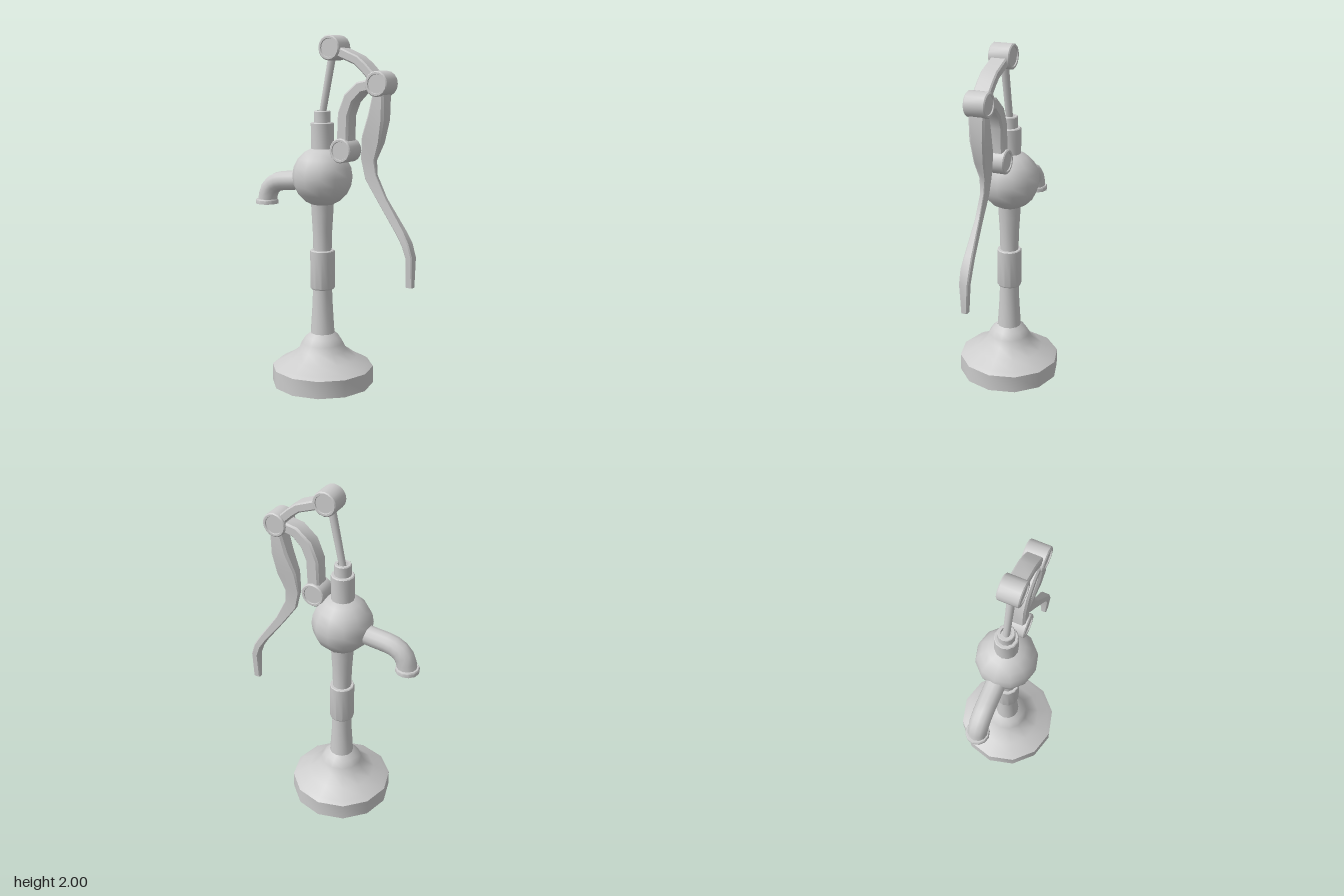
import * as THREE from 'three';
import { toCreasedNormals } from 'three/addons/utils/BufferGeometryUtils.js';

const AXIS = -0.07; // x of the pump column

export function createModel() {
  const group = new THREE.Group();
  const iron = new THREE.MeshStandardMaterial({ color: 0xcccccc, side: THREE.DoubleSide });
  iron.name = 'cast iron grey';

  const add = (name, geometry, x = 0, y = 0, z = 0) => {
    const mesh = new THREE.Mesh(geometry, iron);
    mesh.name = name;
    mesh.position.set(x, y, z);
    group.add(mesh);
    return mesh;
  };

  // Turned part: smooth around, sharp at strong profile corners
  const turned = (profile, sides = 12) => toCreasedNormals(
    new THREE.LatheGeometry(profile.map(([r, y]) => new THREE.Vector2(r, y)), sides), 0.65);

  // Chamfered bar along stations [x, y, half thickness, half depth in z]
  const bar = (stations) => {
    const rings = stations.map(([x, y, t, w], i) => {
      const a = stations[Math.max(i - 1, 0)];
      const b = stations[Math.min(i + 1, stations.length - 1)];
      const len = Math.hypot(b[0] - a[0], b[1] - a[1]);
      const nx = -(b[1] - a[1]) / len, ny = (b[0] - a[0]) / len;
      const c = Math.min(t, w) * 0.3;
      return [[t, -w + c], [t, w - c], [t - c, w], [-t + c, w],
        [-t, w - c], [-t, -w + c], [-t + c, -w], [t - c, -w]]
        .map(([n, z]) => [x + nx * n, y + ny * n, z]);
    });
    const pos = [];
    const tri = (...corners) => corners.forEach((p) => pos.push(...p));
    for (let i = 0; i < rings.length - 1; i++) {
      for (let j = 0; j < 8; j++) {
        const k = (j + 1) % 8, r = rings[i], s = rings[i + 1];
        tri(r[j], r[k], s[j]);
        tri(r[k], s[k], s[j]);
      }
    }
    const first = rings[0], last = rings[rings.length - 1];
    for (let j = 1; j < 7; j++) {
      tri(first[0], first[j + 1], first[j]);
      tri(last[0], last[j], last[j + 1]);
    }
    const g = new THREE.BufferGeometry();
    g.setAttribute('position', new THREE.Float32BufferAttribute(pos, 3));
    return toCreasedNormals(g, 0.5);
  };

  // Hollow base and column
  add('base', turned([[0.295, 0], [0.295, 0.1], [0.27, 0.117], [0.2, 0.155], [0.14, 0.2],
    [0.122, 0.24], [0.1, 0.275], [0.07, 0.3]]), AXIS);
  add('lowerColumn', turned([[0.07, 0.295], [0.06, 0.45], [0.055, 0.57]]), AXIS);
  add('collar', turned([[0.05, 0.563], [0.067, 0.563], [0.071, 0.57], [0.071, 0.785],
    [0.067, 0.79], [0.05, 0.79]]), AXIS);
  add('upperColumn', turned([[0.053, 0.785], [0.056, 0.9], [0.062, 1.0], [0.066, 1.075]]), AXIS);
  add('chamber', new THREE.SphereGeometry(0.172, 12, 10), AXIS, 1.215);
  add('chamberNeck', turned([[0.065, 1.36], [0.065, 1.515], [0.06, 1.52], [0.04, 1.52]]), AXIS);
  add('rodGuide', turned([[0.047, 1.515], [0.047, 1.58], [0.043, 1.585], [0.03, 1.585],
    [0.028, 1.565], [0, 1.565]]), AXIS);

  // Spout with open lip
  const path = new THREE.CatmullRomCurve3([[-0.15, 1.194], [-0.25, 1.18], [-0.385, 1.162],
    [-0.435, 1.132], [-0.458, 1.095], [-0.47, 1.04]].map(([x, y]) => new THREE.Vector3(x, y, 0)));
  add('spout', new THREE.TubeGeometry(path, 10, 0.056, 12));
  add('spoutLip', turned([[0.052, 1.05], [0.052, 1.025], [0.067, 1.025], [0.067, 1.046],
    [0.062, 1.053], [0.052, 1.053]]), -0.472);

  // Plunger rod, leaning to the top pivot
  const from = new THREE.Vector3(AXIS, 1.56, 0), to = new THREE.Vector3(0.005, 1.92, 0);
  const dir = to.clone().sub(from);
  const rod = add('plungerRod', new THREE.CylinderGeometry(0.023, 0.02, dir.length(), 10));
  rod.position.copy(from).add(to).multiplyScalar(0.5);
  rod.quaternion.setFromUnitVectors(new THREE.Vector3(0, 1, 0), dir.normalize());

  // Pivot barrels with recessed ends
  const barrel = turned([[0, -0.055], [0.05, -0.055], [0.052, -0.061], [0.063, -0.061],
    [0.069, -0.055], [0.069, 0.055], [0.063, 0.061], [0.052, 0.061], [0.05, 0.055], [0, 0.055]], 16);
  barrel.rotateX(Math.PI / 2);
  add('topPivot', barrel, 0.012, 1.931);
  add('handlePivot', barrel, 0.317, 1.74);
  add('supportPivot', barrel, 0.087, 1.372);

  // Linkage and handle
  add('topLink', bar([[0.05, 1.915, 0.026, 0.047], [0.1, 1.895, 0.026, 0.047],
    [0.18, 1.864, 0.025, 0.047], [0.225, 1.828, 0.025, 0.047], [0.29, 1.765, 0.025, 0.047]]));
  add('supportArm', bar([[0.09, 1.4, 0.037, 0.047], [0.097, 1.571, 0.037, 0.047],
    [0.132, 1.658, 0.037, 0.047], [0.2, 1.719, 0.033, 0.047], [0.29, 1.738, 0.031, 0.047]]));
  add('handle', bar([[0.32, 1.71, 0.03, 0.047], [0.318, 1.67, 0.037, 0.047],
    [0.303, 1.56, 0.052, 0.045], [0.268, 1.44, 0.061, 0.033], [0.242, 1.33, 0.044, 0.018],
    [0.258, 1.235, 0.037, 0.012], [0.333, 1.11, 0.026, 0.014], [0.452, 0.944, 0.023, 0.025],
    [0.488, 0.885, 0.022, 0.029], [0.511, 0.815, 0.021, 0.027], [0.51, 0.65, 0.02, 0.017]]));

  return group;
}
